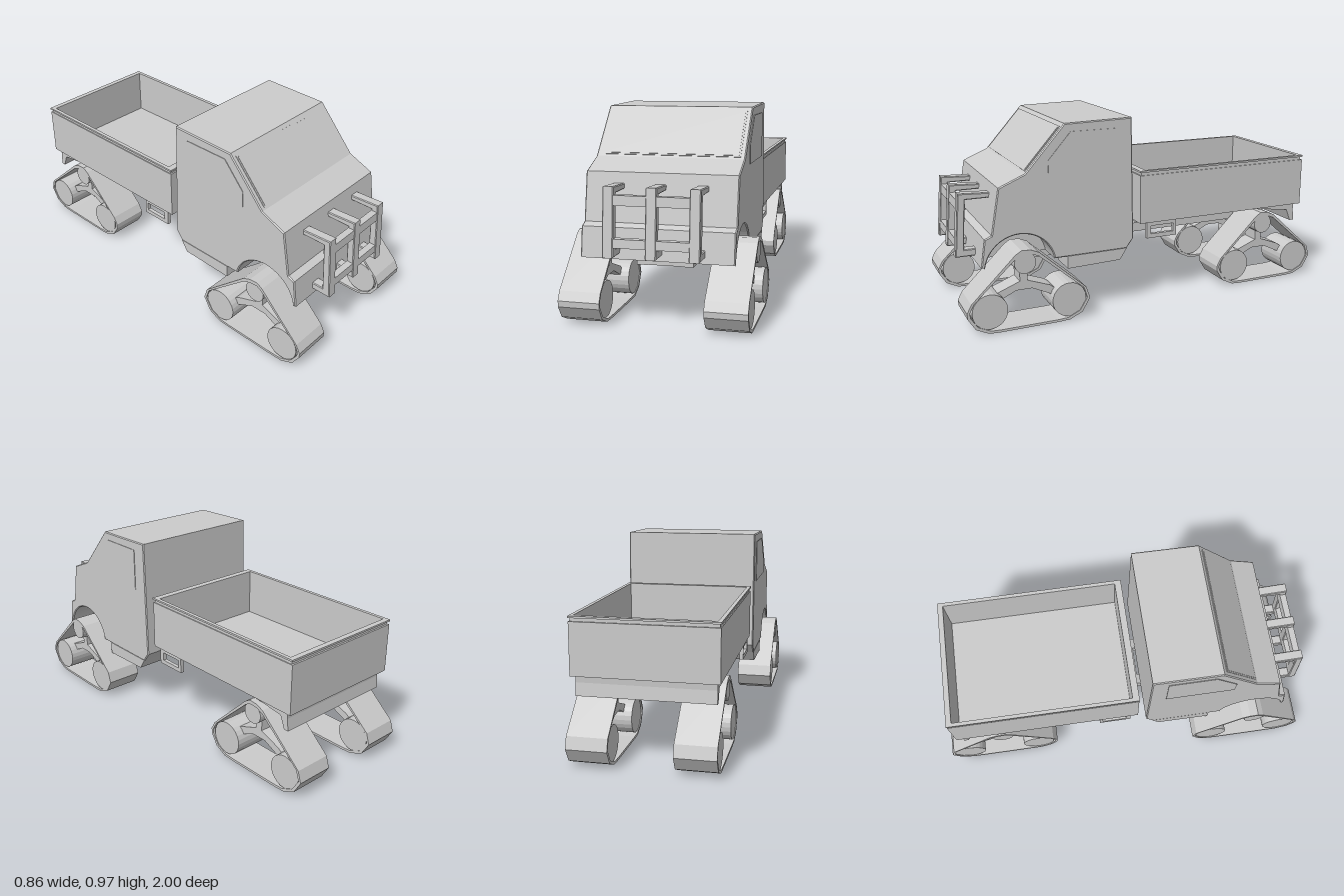
import * as THREE from 'three';

const material = new THREE.MeshStandardMaterial({ color: 0xcccccc, flatShading: true });

function add(parent, name, geometry) {
  const mesh = new THREE.Mesh(geometry, material);
  mesh.name = name;
  parent.add(mesh);
  return mesh;
}

const polygon = (points) => new THREE.Shape(points.map(([a, b]) => new THREE.Vector2(a, b)));

// Side outline in (z, y), extruded across from x0 to x1
function sideExtrude(shape, x0, x1, bevel = 0) {
  const geometry = new THREE.ExtrudeGeometry(shape, {
    depth: x1 - x0 - 2 * bevel, bevelEnabled: bevel > 0, bevelSize: bevel,
    bevelThickness: bevel, bevelOffset: -bevel, bevelSegments: 1, curveSegments: 14,
  });
  return geometry.rotateY(-Math.PI / 2).translate(x1 - bevel, 0, 0);
}

function box(x0, x1, y0, y1, z0, z1) {
  return new THREE.BoxGeometry(x1 - x0, y1 - y0, z1 - z0)
    .translate((x0 + x1) / 2, (y0 + y1) / 2, (z0 + z1) / 2);
}

// Rectangular ring around the bed opening: outer half width, outer z range, y range
function bedRing(halfX, z0, z1, y0, y1) {
  const rect = (h, a, b) => [[-h, -b], [h, -b], [h, -a], [-h, -a]];
  const shape = polygon(rect(halfX, z0, z1));
  shape.holes.push(polygon(rect(0.325, -0.887, 0.042).reverse()));
  return new THREE.ExtrudeGeometry(shape, { depth: y1 - y0, bevelEnabled: false })
    .rotateX(-Math.PI / 2).translate(0, y0, 0);
}

function makeCab() {
  const cab = new THREE.Group();
  cab.name = 'cab';
  // Body with wheel arches
  const body = polygon([[0.157, 0.3], [0.12, 0.35], [0.13, 0.968], [0.48, 0.96], [0.68, 0.735],
    [0.81, 0.68], [0.85, 0.455], [0.885, 0.44], [0.905, 0.3], [0.886, 0.3]]);
  const start = Math.asin(0.03 / 0.175);
  body.absarc(0.714, 0.27, 0.175, start, Math.PI - start, false);
  add(cab, 'cabBody', sideExtrude(body, -0.355, 0.355, 0.005));
  // Solid floor between the arches
  add(cab, 'cabFloor', sideExtrude(polygon(
    [[0.5, 0.302], [0.895, 0.302], [0.875, 0.435], [0.84, 0.46], [0.5, 0.46]]), -0.21, 0.21));
  // Windscreen trim and pane, set on the slope
  const slope = Math.atan2(0.2, 0.225);
  for (const [name, w, h, t] of [['windscreenTrim', 0.665, 0.268, 0.007], ['windscreen', 0.65, 0.253, 0.011]]) {
    const screen = add(cab, name, new THREE.BoxGeometry(w, h, t));
    screen.position.set(0, 0.843, 0.583);
    screen.rotation.x = -slope;
  }
  for (const s of [-1, 1]) {
    const [a, b] = s > 0 ? [0.21, 0.355] : [-0.355, -0.21];
    add(cab, 'lowerSkirt', sideExtrude(polygon(
      [[0.475, 0.302], [0.475, 0.238], [0.195, 0.245], [0.157, 0.302]]), a, b));
    const w = s > 0 ? 0.353 : -0.358;
    add(cab, 'sideWindow', sideExtrude(polygon(
      [[0.21, 0.7], [0.21, 0.92], [0.45, 0.92], [0.565, 0.79], [0.565, 0.7]]), w, w + 0.005));
  }
  return cab;
}

function makeBullBar() {
  const bar = new THREE.Group();
  bar.name = 'bullBar';
  // Uprights with their upper and lower brackets
  const upright = polygon([[0.97, 0.638], [0.995, 0.325], [0.88, 0.325], [0.88, 0.36],
    [0.953, 0.36], [0.937, 0.605], [0.815, 0.605], [0.815, 0.63]]);
  for (const x of [-0.195, 0, 0.195]) add(bar, 'upright', sideExtrude(upright, x - 0.025, x + 0.025, 0.004));
  // Cross bars follow the lean of the uprights
  const front = (y) => 0.993 - (y - 0.325) * 0.08;
  for (const [y0, y1] of [[0.37, 0.41], [0.555, 0.6]]) {
    add(bar, 'crossBar', sideExtrude(polygon([[front(y0), y0], [front(y1), y1],
      [front(y1) - 0.033, y1], [front(y0) - 0.04, y0]]), -0.215, 0.215));
  }
  return bar;
}

function makeBed() {
  const bed = new THREE.Group();
  bed.name = 'cargoBed';
  add(bed, 'bedWalls', bedRing(0.342, -0.914, 0.075, 0.415, 0.665));
  add(bed, 'rimGroove', bedRing(0.337, -0.905, 0.067, 0.664, 0.682));
  add(bed, 'rim', bedRing(0.344, -0.915, 0.077, 0.681, 0.69));
  add(bed, 'bedFloor', box(-0.33, 0.33, 0.413, 0.445, -0.9, 0.06));
  // Rear valance with a drooping flap
  add(bed, 'rearValance', sideExtrude(polygon([[-0.65, 0.416], [-0.65, 0.405], [-0.7, 0.4],
    [-0.84, 0.382], [-0.865, 0.318], [-0.89, 0.318], [-0.883, 0.38], [-0.885, 0.416]]), -0.325, 0.325));
  // Hollow side steps under the front of the bed
  const step = polygon([[0.035, 0.415], [-0.135, 0.415], [-0.135, 0.33], [0.035, 0.33]]);
  step.holes.push(polygon([[0.01, 0.395], [0.01, 0.352], [-0.118, 0.352], [-0.118, 0.395]]));
  for (const x of [-0.335, 0.315]) add(bed, 'sideStep', sideExtrude(step, x, x + 0.02));
  return bed;
}

function makeChassis() {
  const chassis = new THREE.Group();
  chassis.name = 'chassis';
  const rail = polygon([[0.765, 0.3], [0.765, 0.243], [0.18, 0.243], [0.03, 0.31], [-0.79, 0.31],
    [-0.79, 0.358], [0.03, 0.358], [0.16, 0.302]]);
  for (const x of [-0.135, 0.08]) add(chassis, 'rail', sideExtrude(rail, x, x + 0.055));
  add(chassis, 'frontCrossmember', box(-0.08, 0.08, 0.243, 0.298, 0.7, 0.76));
  add(chassis, 'hitchCrossmember', box(-0.08, 0.08, 0.295, 0.325, 0.05, 0.11));
  for (const z of [-0.35, -0.76]) {
    add(chassis, 'crossmember', box(-0.08, 0.08, 0.315, 0.353, z - 0.03, z + 0.03));
  }
  // Mounts carrying the bed
  for (const z of [-0.03, -0.67]) add(chassis, 'bedMount', box(-0.13, 0.13, 0.356, 0.415, z - 0.03, z + 0.03));
  for (const [z, w] of [[0.713, 0.56], [-0.674, 0.4]]) {
    add(chassis, 'axle', new THREE.CylinderGeometry(0.02, 0.02, w, 12)
      .rotateZ(Math.PI / 2).translate(0, 0.325, z));
  }
  return chassis;
}

// Triangular track unit, built about x = 0 and z = 0
function makeTrack() {
  const track = new THREE.Group();
  track.name = 'trackUnit';
  const half = 0.097;
  // Belt loop
  const outline = [[0.278, 0.16], [0.3, 0.118], [0.298, 0.09], [0.262, 0.033], [0.2, 0.003], [0.15, 0],
    [-0.15, 0], [-0.205, 0.003], [-0.27, 0.033], [-0.31, 0.1], [-0.292, 0.158], [-0.055, 0.37],
    [-0.015, 0.387], [0.03, 0.39], [0.06, 0.372]];
  const belt = polygon(outline);
  belt.holes.push(polygon(outline.map(([z, y]) => [z * 0.955, 0.15 + (y - 0.15) * 0.92]).reverse()));
  add(track, 'belt', sideExtrude(belt, -half, half));
  // Rollers
  for (const [z, y, r] of [[0.19, 0.108, 0.086], [-0.204, 0.106, 0.086], [0.013, 0.325, 0.053]]) {
    add(track, 'roller', new THREE.CylinderGeometry(r, r, 2 * half - 0.008, 24)
      .rotateZ(Math.PI / 2).translate(0, y, z));
  }
  // Forked suspension arm
  add(track, 'forkArm', sideExtrude(polygon([[-0.008, 0.33], [-0.008, 0.222], [-0.12, 0.18], [-0.2, 0.12],
    [-0.2, 0.09], [-0.11, 0.14], [-0.03, 0.178], [0.05, 0.178], [0.13, 0.14], [0.197, 0.09],
    [0.197, 0.12], [0.14, 0.18], [0.03, 0.222], [0.03, 0.33]]), -0.05, 0.05));
  return track;
}

export function createModel() {
  const model = new THREE.Group();
  model.name = 'trackedTruck';
  model.add(makeCab(), makeBullBar(), makeBed(), makeChassis());
  // Front tracks sit wider than the rear ones
  for (const [x, z] of [[0.333, 0.7], [0.246, -0.687]]) {
    for (const s of [-1, 1]) {
      const track = makeTrack();
      track.position.set(s * x, 0, z);
      model.add(track);
    }
  }
  return model;
}
